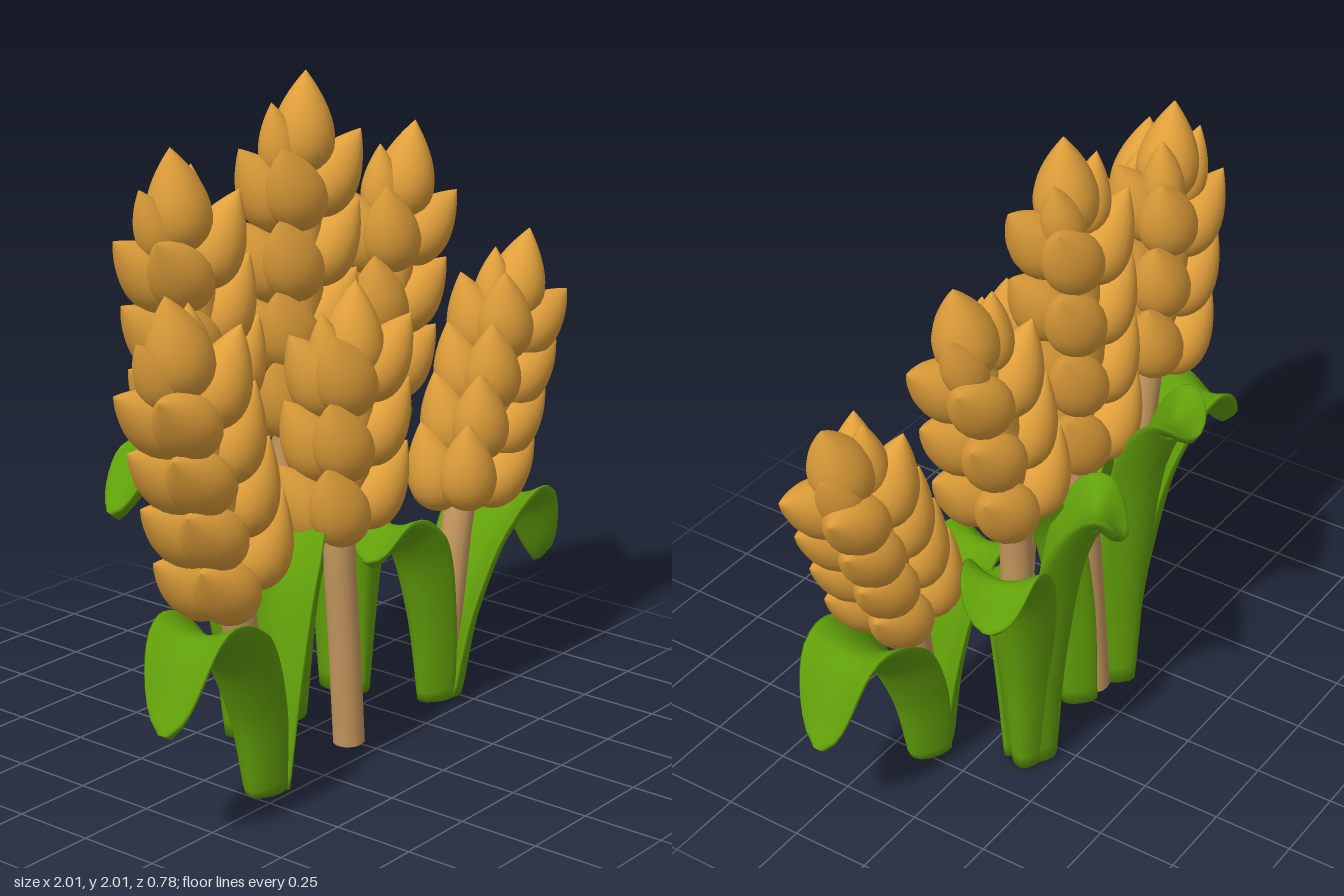
import * as THREE from 'three';

const V = (x, y, z) => new THREE.Vector3(x, y, z);

function material(name, color) {
  const m = new THREE.MeshStandardMaterial({ color });
  m.name = name;
  return m;
}

// Pointed teardrop kernel, one unit long, pointing up, widest at a third
function grainGeometry() {
  const pts = [];
  for (let i = 0; i <= 20; i++) {
    const y = (1 - Math.cos(i / 20 * Math.PI)) / 2;
    pts.push(new THREE.Vector2(i % 20 ? 0.95 * y ** 0.52 * (1 - y) ** 0.98 : 0, y));
  }
  return new THREE.LatheGeometry(pts, 20);
}

// Path that rises steeply from the foot, arches over and droops to the tip
function archPath(foot, tip, peak) {
  const at = (run, height) => foot.clone().lerp(tip, run).setY(height);
  return new THREE.CatmullRomCurve3([foot, at(0.13, peak * 0.48), at(0.4, peak * 0.88), at(0.71, peak), tip]);
}

// Gutter-shaped blade lofted along an arch; width is the half width
function leafGeometry(foot, tip, peak, width) {
  const path = archPath(foot, tip, peak);
  const side = V(foot.z - tip.z, 0, tip.x - foot.x).normalize();
  const rings = 32, sides = 20, pos = [], idx = [];
  for (let i = -1; i <= rings + 1; i++) {
    const t = THREE.MathUtils.clamp(i / rings, 0, 1);
    const size = i < 0 || i > rings ? 0 : 1;
    const c = path.getPoint(t), T = path.getTangent(t);
    const S = side.clone().addScaledVector(T, -side.dot(T)).normalize();
    const N = S.clone().cross(T);
    const flare = THREE.MathUtils.lerp(0.5, 1, Math.min(t / 0.5, 1));
    const taper = Math.sqrt(Math.max(1 - (Math.max(t - 0.6, 0) / 0.4) ** 2, 0.02));
    const w = width * flare * taper * size;
    const thick = (0.042 - 0.018 * t) * size;
    const fold = THREE.MathUtils.lerp(0.85, 0.45, t);
    for (let j = 0; j < sides; j++) {
      const a = j / sides * Math.PI * 2, u = Math.cos(a);
      const v = Math.sin(a) * thick + fold * w * (u * u - 0.4);
      const p = c.clone().addScaledVector(S, u * w).addScaledVector(N, v);
      pos.push(p.x, Math.max(p.y, 0), p.z);
    }
  }
  for (let i = 0; i < rings + 2; i++) {
    for (let j = 0; j < sides; j++) {
      const a = i * sides + j, b = i * sides + (j + 1) % sides;
      idx.push(a, a + sides, b, b, a + sides, b + sides);
    }
  }
  const g = new THREE.BufferGeometry();
  g.setAttribute('position', new THREE.Float32BufferAttribute(pos, 3));
  g.setIndex(idx);
  g.computeVertexNormals();
  return g;
}

export function createModel() {
  const model = new THREE.Group();
  model.name = 'wheatClump';
  const gold = material('golden grain', 0xe09f3a);
  const straw = material('straw stem', 0xc6975e);
  const green = material('leaf green', 0x62a00a);
  const kernel = grainGeometry();

  // Adds one kernel centred on a point and aimed along a direction
  function addGrain(ear, centre, dir, length, girth) {
    const d = dir.clone().normalize();
    const m = new THREE.Mesh(kernel, gold);
    m.name = 'grain';
    m.quaternion.setFromUnitVectors(V(0, 1, 0), d);
    m.scale.set(girth, length, girth);
    m.position.copy(centre).addScaledVector(d, -length * 0.42);
    ear.add(m);
  }

  // Stalk: stem foot, start and tip of ear, kernel tiers, heights of first tier and of crown
  function addStalk(foot, start, tip, tiers, first, crown) {
    const stalk = new THREE.Group();
    stalk.name = 'stalk';
    const up = tip.clone().sub(start), len = up.length();
    up.normalize();
    const front = V(0, 0, 1).addScaledVector(up, -up.z).normalize();
    const right = up.clone().cross(front).normalize();
    const aim = (x, h, z) => V(0, 0, 0).addScaledVector(right, x)
      .addScaledVector(up, h).addScaledVector(front, z);
    const at = (x, h, z) => aim(x, h, z).add(start);

    // Stem with a closed foot, ending inside the ear
    const line = new THREE.CatmullRomCurve3([foot, foot.clone().lerp(start, 0.5), start, at(0, 0.14, 0)]);
    const stem = new THREE.Mesh(new THREE.TubeGeometry(line, 24, 0.049, 14), straw);
    stem.name = 'stem';
    const cap = new THREE.Mesh(new THREE.CircleGeometry(0.049, 14), straw);
    cap.name = 'stemFoot';
    cap.rotation.x = Math.PI / 2;
    cap.position.copy(foot);
    stalk.add(stem, cap);

    // Tiers of four kernels around a solid core
    const ear = new THREE.Group();
    ear.name = 'ear';
    addGrain(ear, at(0, len * 0.45, 0), up, len * 0.85, 0.24);
    for (let i = 0; i < tiers; i++) {
      const k = i / (tiers - 1), w = 1 - 0.1 * k;
      const h = THREE.MathUtils.lerp(first, len - crown, k);
      for (const x of [-1, 1]) for (const z of [-1, 1]) {
        addGrain(ear, at(x * 0.088 * w, h + x * 0.015 + z * 0.01, z * 0.06 * w),
          aim(x * 0.58, 0.8, z * 0.16), 0.3, 0.25);
      }
    }
    // Small shoulder kernels and the pointed crown
    for (const s of [-1, 1]) {
      addGrain(ear, at(s * 0.068, len - 0.23, -0.02), aim(s * 0.3, 1, -0.03), 0.25, 0.18);
    }
    addGrain(ear, at(0, len - 0.18, 0.01), up, 0.31, 0.26);
    stalk.add(ear);
    model.add(stalk);
  }

  // Front row of stalks, then the taller back row
  addStalk(V(-0.44, 0, 0.19), V(-0.56, 0.62, 0.18), V(-0.89, 1.56, 0.22), 4, 0.11, 0.34);
  addStalk(V(-0.02, 0, 0.16), V(-0.07, 0.66, 0.16), V(-0.01, 1.43, 0.16), 3, 0.12, 0.27);
  addStalk(V(0.44, 0, 0.15), V(0.56, 0.6, 0.14), V(0.91, 1.42, 0.13), 4, 0.1, 0.31);
  addStalk(V(-0.15, 0, -0.11), V(-0.36, 1.02, -0.1), V(-0.52, 1.86, -0.09), 3, 0.13, 0.34);
  addStalk(V(-0.07, 0, -0.11), V(0.01, 0.92, -0.1), V(0.07, 2, -0.09), 4, 0.12, 0.34);
  addStalk(V(0.32, 0, -0.11), V(0.36, 0.9, -0.1), V(0.6, 1.78, -0.09), 3, 0.14, 0.35);

  // Leaf: foot, tip, height of the arch, half width
  function addLeaf(foot, tip, peak, width) {
    const leaf = new THREE.Mesh(leafGeometry(foot, tip, peak, width), green);
    leaf.name = 'leaf';
    model.add(leaf);
  }

  // Front left and front right pairs
  addLeaf(V(-0.46, 0, 0.19), V(-0.97, 0.36, 0.28), 0.59, 0.13);
  addLeaf(V(-0.41, 0, 0.18), V(-0.13, 0.55, 0.04), 0.71, 0.13);
  addLeaf(V(0.48, 0, 0.15), V(0.96, 0.33, 0.17), 0.58, 0.14);
  addLeaf(V(0.42, 0, 0.15), V(0.11, 0.52, 0.13), 0.62, 0.12);
  // Back left cluster
  addLeaf(V(-0.13, 0, -0.07), V(-0.34, 0.42, 0.03), 0.52, 0.11);
  addLeaf(V(-0.11, 0, -0.06), V(-0.27, 0.36, 0.07), 0.45, 0.09);
  addLeaf(V(-0.15, 0, -0.14), V(-0.18, 0.98, -0.39), 1.03, 0.135);
  addLeaf(V(-0.17, 0, -0.13), V(-0.6, 0.78, -0.25), 0.92, 0.12);
  // Centre blade and back right cluster
  addLeaf(V(0.01, 0, -0.1), V(0.33, 0.79, 0.01), 0.88, 0.11);
  addLeaf(V(0.33, 0, -0.08), V(0.26, 0.6, 0.01), 0.6, 0.085);
  addLeaf(V(0.31, 0, -0.14), V(0.19, 0.84, -0.37), 0.93, 0.135);
  addLeaf(V(0.34, 0, -0.13), V(0.66, 0.72, -0.22), 0.83, 0.12);
  return model;
}
